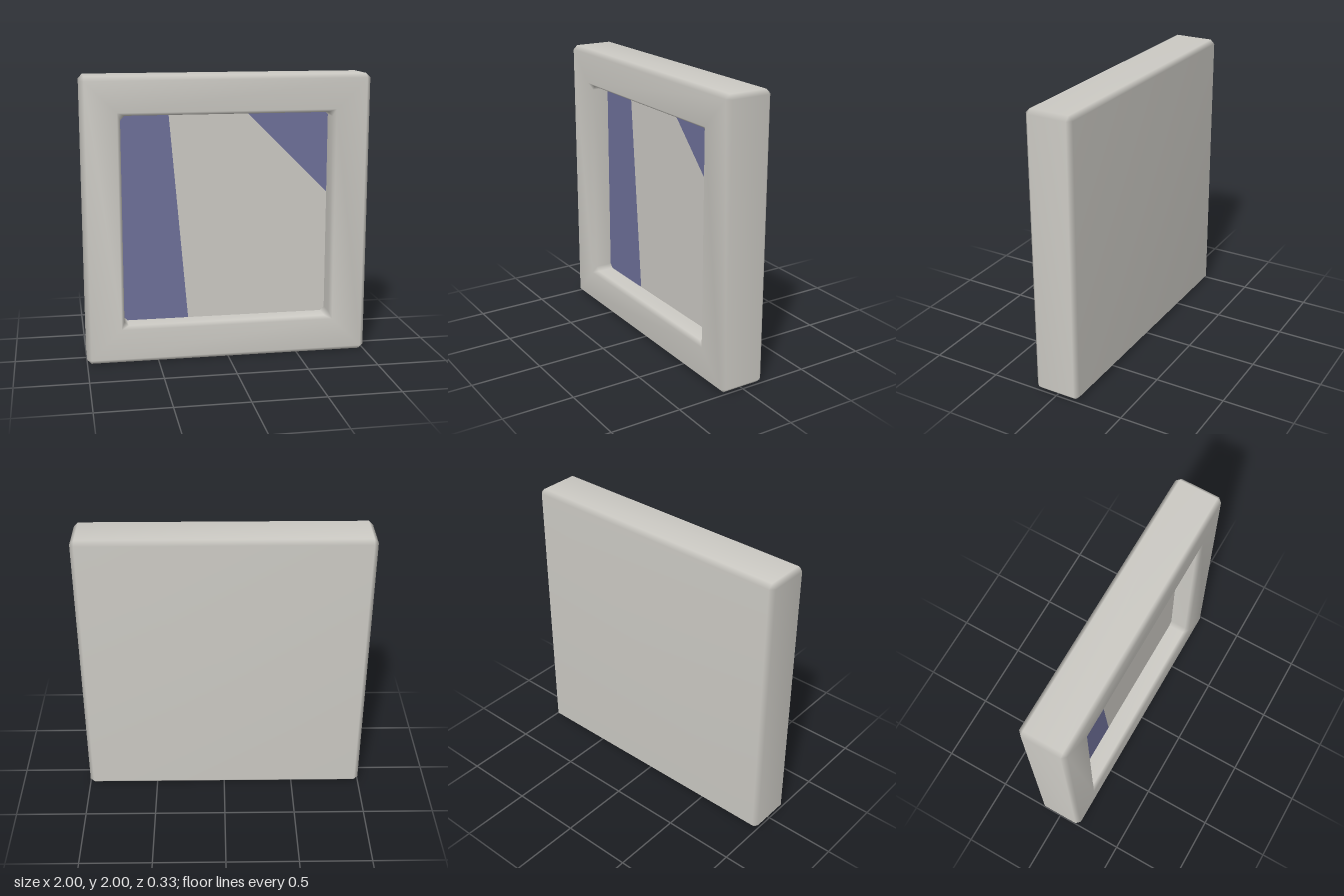
import * as THREE from 'three';
import { mergeVertices } from 'three/addons/utils/BufferGeometryUtils.js';

// Square loop with cut corners, counter-clockwise seen from +z
function squareLoop(half, cut) {
  const h = half, k = half - cut;
  return [[h, -k], [h, k], [k, h], [-k, h], [-h, k], [-h, -k], [-k, -h], [k, -h]];
}

// Skin consecutive [half, cut, z] loops into one smooth surface
function skin(sections) {
  const positions = [], index = [];
  for (const [half, cut, z] of sections) {
    for (const [x, y] of squareLoop(half, cut)) positions.push(x, y, z);
  }
  const same = (p, q) => [0, 1, 2].every((i) => Math.abs(positions[p * 3 + i] - positions[q * 3 + i]) < 1e-5);
  const tri = (a, b, c) => {
    if (!same(a, b) && !same(b, c) && !same(c, a)) index.push(a, b, c);
  };
  for (let s = 0; s < sections.length - 1; s++) {
    for (let i = 0; i < 8; i++) {
      const j = (i + 1) % 8, a = s * 8, b = a + 8;
      tri(a + i, a + j, b + j);
      tri(a + i, b + j, b + i);
    }
  }
  let geometry = new THREE.BufferGeometry();
  geometry.setAttribute('position', new THREE.Float32BufferAttribute(positions, 3));
  geometry.setIndex(index);
  geometry = mergeVertices(geometry, 1e-4);
  geometry.computeVertexNormals();
  return geometry;
}

export function createModel() {
  const group = new THREE.Group();
  const grey = new THREE.MeshStandardMaterial({ name: 'warm grey', color: 0xcccac4 });
  const blue = new THREE.MeshStandardMaterial({ name: 'slate blue', color: 0x6e7099 });

  const add = (name, geometry, material) => {
    const mesh = new THREE.Mesh(geometry, material);
    mesh.name = name;
    mesh.position.y = 1;
    group.add(mesh);
  };

  // Frame: closed back, bevelled outer edge, front border, recess wall
  const depth = 0.167, bevel = 0.03;
  add('frame', skin([
    [0, 0, -depth],
    [1 - bevel, 0, -depth],
    [1, bevel, -depth + bevel],
    [1, bevel, depth - bevel],
    [1 - bevel, 0, depth],
    [0.757, 0, depth],
    [0.735, bevel, depth - bevel],
    [0.735, bevel, 0.015],
  ]), grey);

  // Recessed panel, split into three flat colour areas
  const h = 0.735, k = h - bevel;
  const area = (name, points, material) => {
    const shape = new THREE.Shape(points.map(([x, y]) => new THREE.Vector2(x, y)));
    const geometry = new THREE.ShapeGeometry(shape);
    geometry.translate(0, 0, 0.015);
    add(name, geometry, material);
  };
  const bandTop = [-0.395, h], bandBottom = [-0.27, -h];
  const cornerTop = [0.15, h], cornerSide = [h, 0.15];
  area('panelBand', [[-k, -h], bandBottom, bandTop, [-k, h], [-h, k], [-h, -k]], blue);
  area('panelCentre', [bandBottom, [k, -h], [h, -k], cornerSide, cornerTop, bandTop], grey);
  area('panelCorner', [cornerTop, cornerSide, [h, k], [k, h]], blue);

  return group;
}
